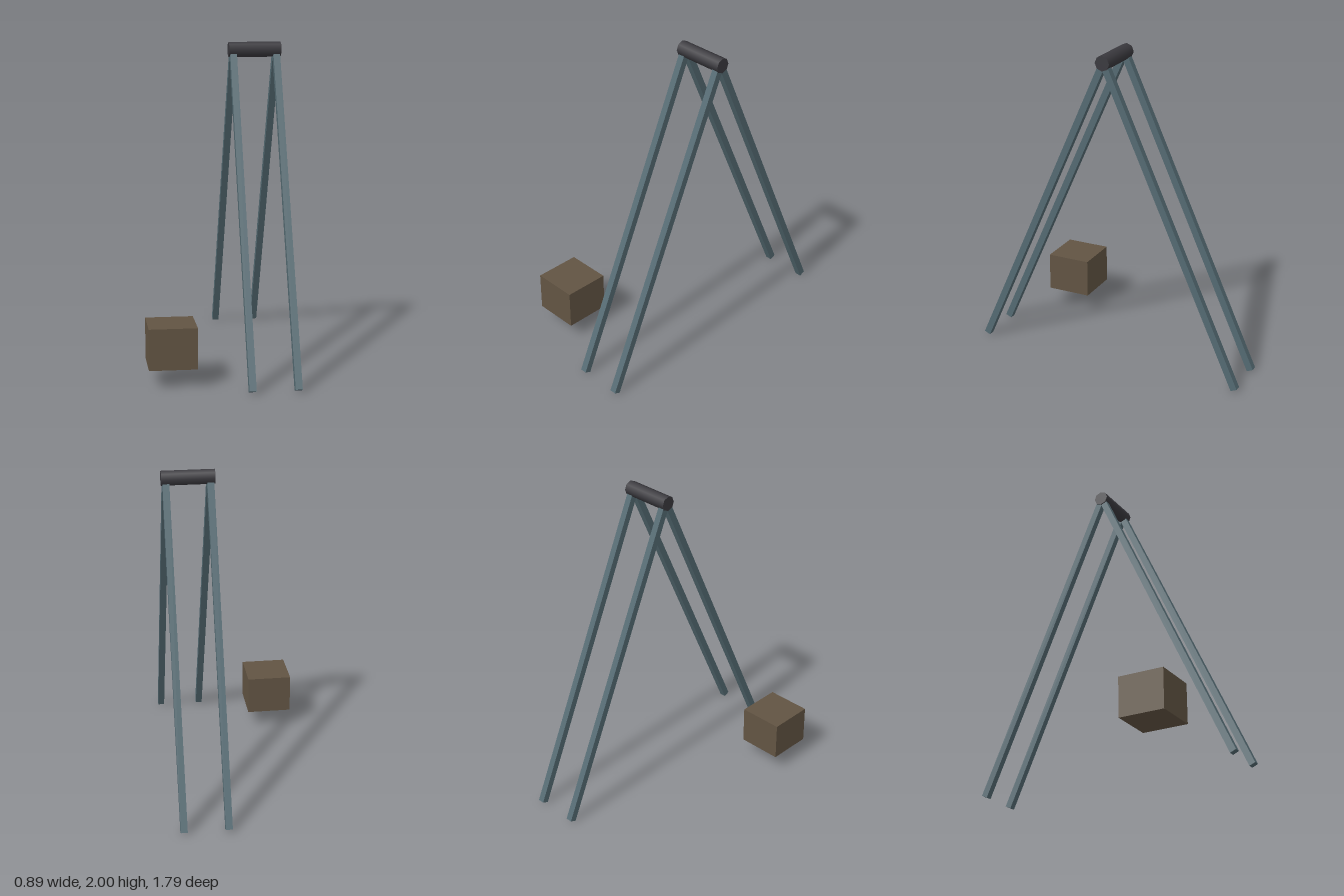
import * as THREE from 'three';

export function createModel() {
  const model = new THREE.Group();
  model.name = 'aFrameStand';

  const mat = (name, color) => {
    const m = new THREE.MeshStandardMaterial({ color });
    m.name = name;
    return m;
  };
  const steel = mat('blue grey steel', 0x546a72);
  const dark = mat('dark grey', 0x3a393e);
  const wood = mat('brown', 0x625443);

  const add = (name, geometry, material, x, y, z) => {
    const mesh = new THREE.Mesh(geometry, material);
    mesh.name = name;
    mesh.position.set(x, y, z);
    model.add(mesh);
    return mesh;
  };

  // Hinge bar across the top, eight-sided
  const barY = 1.953, barX = 0.28;
  const bar = add('hingeBar', new THREE.CylinderGeometry(0.047, 0.047, 0.328, 8), dark, barX, barY, 0);
  bar.rotation.z = Math.PI / 2;

  // Four square legs splayed from the bar down to the ground
  const footY = 0.009, footZ = 0.874;
  const rise = barY - footY;
  const legGeometry = new THREE.BoxGeometry(0.042, Math.hypot(rise, footZ), 0.042);
  for (const side of [-1, 1]) {
    for (const end of [1, -1]) {
      const name = (end > 0 ? 'front' : 'back') + (side > 0 ? 'Left' : 'Right') + 'Leg';
      const leg = add(name, legGeometry, steel, barX + side * 0.136, (barY + footY) / 2, end * footZ / 2);
      leg.rotation.x = -end * Math.atan2(footZ, rise);
    }
  }

  // Separate block beside the front legs
  add('block', new THREE.BoxGeometry(0.29, 0.25, 0.29), wood, -0.304, 0.236, 0.582);

  return model;
}
